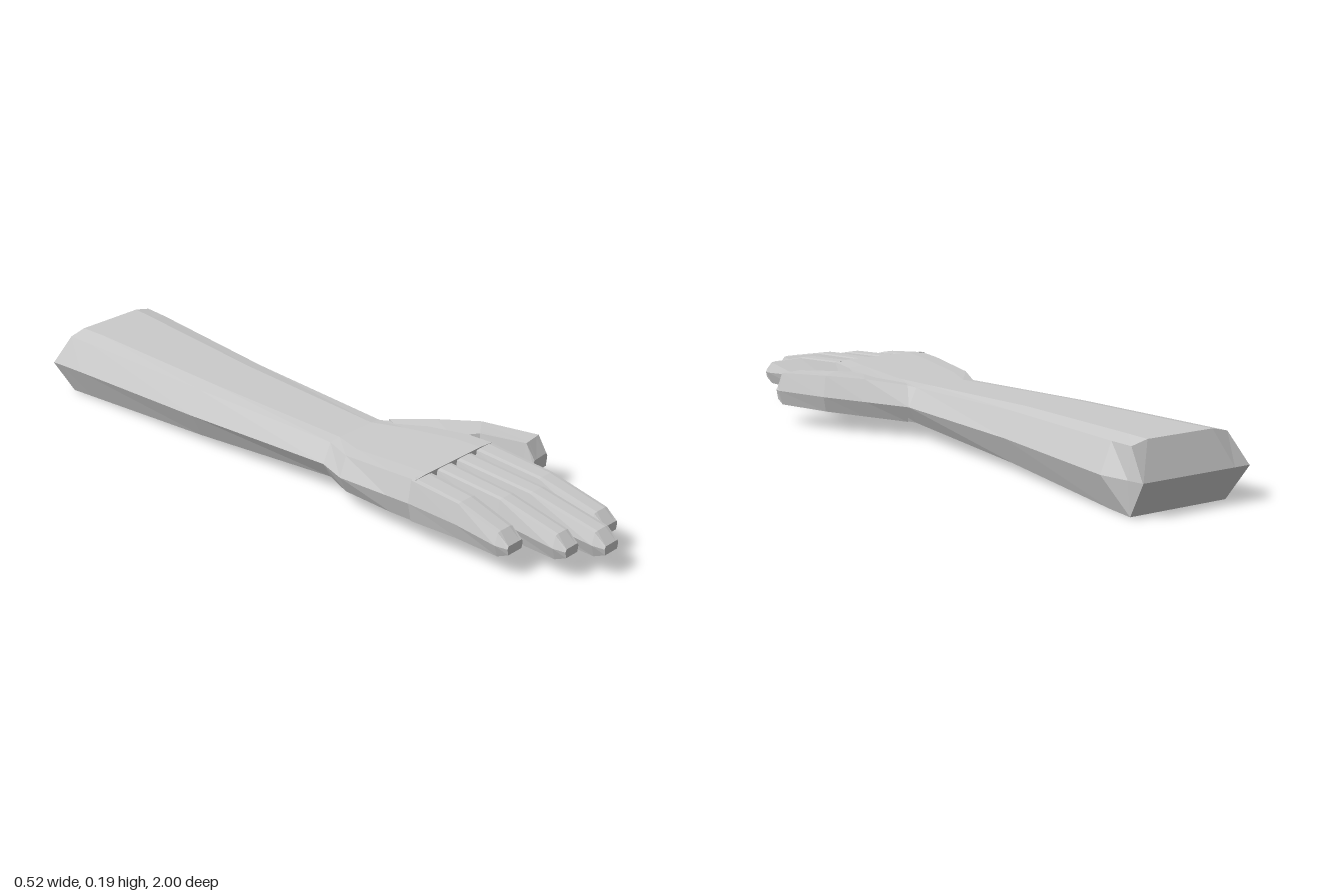
import * as THREE from 'three';

const material = new THREE.MeshStandardMaterial({ color: 0xcccccc, flatShading: true });

// Eight-sided ring between side points a and b, each [x, z].
// ia / ib: inset of the flat faces on each side, top / mid / low: heights,
// drop: how far the shoulders sit below the crown.
function ring({ a, b, ia, ib = ia, top, mid, low, drop = 0 }) {
  const width = Math.hypot(b[0] - a[0], b[1] - a[1]);
  const at = (d, y) => {
    const t = d / width;
    return [a[0] + (b[0] - a[0]) * t, y, a[1] + (b[1] - a[1]) * t];
  };
  const crown = width * 0.14;
  return [
    at(0, mid), at(ia, top - drop), at(ia + crown, top), at(width - ib - crown, top),
    at(width - ib, top - drop), at(width, mid), at(width - ib, low), at(ia, low),
  ];
}

// Skin a row of rings and close both ends.
function loft(name, sections) {
  const rings = sections.map(ring);
  const n = rings[0].length;
  const index = [];
  for (let k = 0; k < rings.length - 1; k++) {
    for (let i = 0; i < n; i++) {
      const j = (i + 1) % n;
      const a = k * n + i, b = k * n + j, c = a + n, d = b + n;
      index.push(a, c, b, b, c, d);
    }
  }
  const last = (rings.length - 1) * n;
  for (let i = 1; i < n - 1; i++) {
    index.push(0, i, i + 1);
    index.push(last, last + i + 1, last + i);
  }
  const geometry = new THREE.BufferGeometry();
  geometry.setAttribute('position', new THREE.Float32BufferAttribute(rings.flat(2), 3));
  geometry.setIndex(index);
  geometry.computeVertexNormals();
  const mesh = new THREE.Mesh(geometry, material);
  mesh.name = name;
  return mesh;
}

// Section square to the arm
const across = (z, xa, xb, ia, ib, top, mid, low, drop) =>
  ({ a: [xa, z], b: [xb, z], ia, ib, top, mid, low, drop });

export function createModel() {
  const group = new THREE.Group();
  group.name = 'arm';

  // Forearm, closed at the back by a horizontal ridge, and palm
  group.add(loft('forearmAndPalm', [
    across(-1.0, -0.245, 0.12, 0.002, 0.002, 0.095, 0.095, 0.095, 0),
    across(-0.955, -0.244, 0.131, 0.04, 0.01, 0.195, 0.096, 0.0, 0.012),
    across(-0.87, -0.243, 0.15, 0.04, 0.035, 0.193, 0.097, 0.003, 0.012),
    across(-0.38, -0.235, 0.085, 0.035, 0.03, 0.178, 0.096, 0.022, 0.009),
    across(0.13, -0.21, 0.055, 0.03, 0.027, 0.157, 0.095, 0.045, 0.005),
    across(0.23, -0.25, 0.085, 0.025, 0.02, 0.162, 0.1, 0.049, 0.003),
    across(0.41, -0.26, 0.1, 0.018, 0.015, 0.178, 0.11, 0.053, 0.003),
    across(0.5, -0.263, 0.091, 0.018, 0.012, 0.183, 0.114, 0.056, 0.003),
  ]));

  // Four fingers: base side points, tip side points, tip depth
  const fingers = [
    ['littleFinger', -0.263, -0.166, -0.254, -0.17, 0.815],
    ['ringFinger', -0.166, -0.083, -0.165, -0.089, 0.935],
    ['middleFinger', -0.083, 0.002, -0.083, -0.003, 1.0],
    ['indexFinger', 0.002, 0.091, 0.004, 0.084, 0.935],
  ];
  for (const [name, a0, b0, a1, b1, tip] of fingers) {
    const z = (t) => 0.49 + (tip - 0.035 - 0.49) * t;
    const part = (t, top, mid, low) => across(
      z(t), a0 + (a1 - a0) * t, b0 + (b1 - b0) * t, 0.012, 0.012, top, mid, low, 0.002);
    group.add(loft(name, [
      part(0, 0.181, 0.114, 0.057),
      part(0.55, 0.163, 0.105, 0.058),
      part(1, 0.122, 0.087, 0.051),
      across(tip, a1 + 0.01, b1 - 0.01, 0.004, 0.004, 0.092, 0.084, 0.066, 0),
    ]));
  }

  // Thumb, sweeping out from the wrist
  group.add(loft('thumb', [
    { a: [-0.03, 0.3], b: [0.055, 0.13], ia: 0.025, top: 0.157, mid: 0.095, low: 0.046 },
    { a: [0.05, 0.39], b: [0.13, 0.25], ia: 0.02, top: 0.166, mid: 0.1, low: 0.052 },
    { a: [0.112, 0.432], b: [0.205, 0.365], ia: 0.016, top: 0.168, mid: 0.105, low: 0.058 },
    { a: [0.165, 0.548], b: [0.26, 0.535], ia: 0.013, top: 0.158, mid: 0.104, low: 0.06 },
    { a: [0.176, 0.575], b: [0.25, 0.568], ia: 0.006, top: 0.112, mid: 0.102, low: 0.072 },
  ]));

  return group;
}
